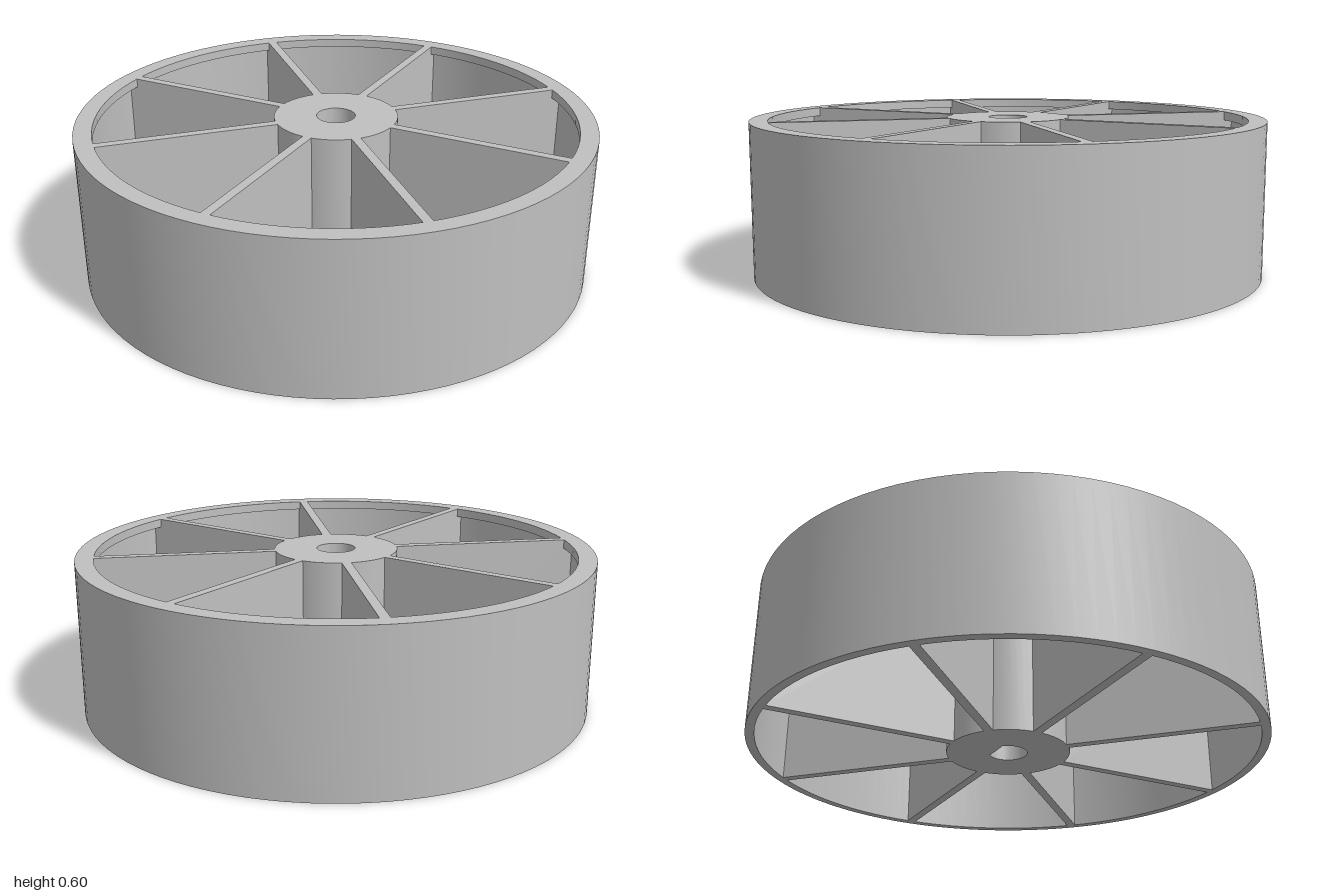
import * as THREE from 'three';
import { toCreasedNormals } from 'three/addons/utils/BufferGeometryUtils.js';

const HEIGHT = 0.6;
const BORE = 0.075;

// Solid of revolution from a closed (radius, y) profile, with sharp edges kept
function ring(profile, segments) {
  const points = profile.map(([r, y]) => new THREE.Vector2(r, y));
  return toCreasedNormals(new THREE.LatheGeometry(points, segments), 0.6);
}

export function createModel() {
  const wheel = new THREE.Group();
  wheel.name = 'wheel';
  const grey = new THREE.MeshStandardMaterial({ color: 0xc0c0c0 });
  grey.name = 'light grey';

  const add = (name, geometry) => {
    const mesh = new THREE.Mesh(geometry, grey);
    mesh.name = name;
    wheel.add(mesh);
    return mesh;
  };

  // Thin outer rim with a wider lip along its top edge
  const wall = 0.965, lip = 0.93, lipY = HEIGHT - 0.035;
  add('rim', ring([
    [1, 0], [1, HEIGHT], [lip, HEIGHT], [lip, lipY], [wall, lipY], [wall, 0], [1, 0],
  ], 96));

  // Hub with a round bore
  add('hub', ring([
    [0.24, 0], [0.24, HEIGHT], [BORE, HEIGHT], [BORE, 0], [0.24, 0],
  ], 64));

  // Flat in the lower bore, making it D-shaped for the shaft
  const angle = Math.asin(0.052 / BORE);
  const segment = new THREE.Shape();
  segment.absarc(0, 0, BORE, angle, Math.PI - angle, false);
  segment.closePath();
  const flat = new THREE.ExtrudeGeometry(segment, {
    depth: HEIGHT / 2, bevelEnabled: false, curveSegments: 16,
  });
  flat.rotateX(-Math.PI / 2);
  add('boreFlat', toCreasedNormals(flat, 0.6));

  // Eight full-height spokes from hub to rim
  const inner = 0.235, outer = 0.968;
  const spoke = new THREE.BoxGeometry(outer - inner, HEIGHT, 0.036);
  spoke.translate((inner + outer) / 2, HEIGHT / 2, 0);
  for (let i = 0; i < 8; i++) {
    add('spoke' + (i + 1), spoke).rotation.y = (i * Math.PI) / 4;
  }

  return wheel;
}
